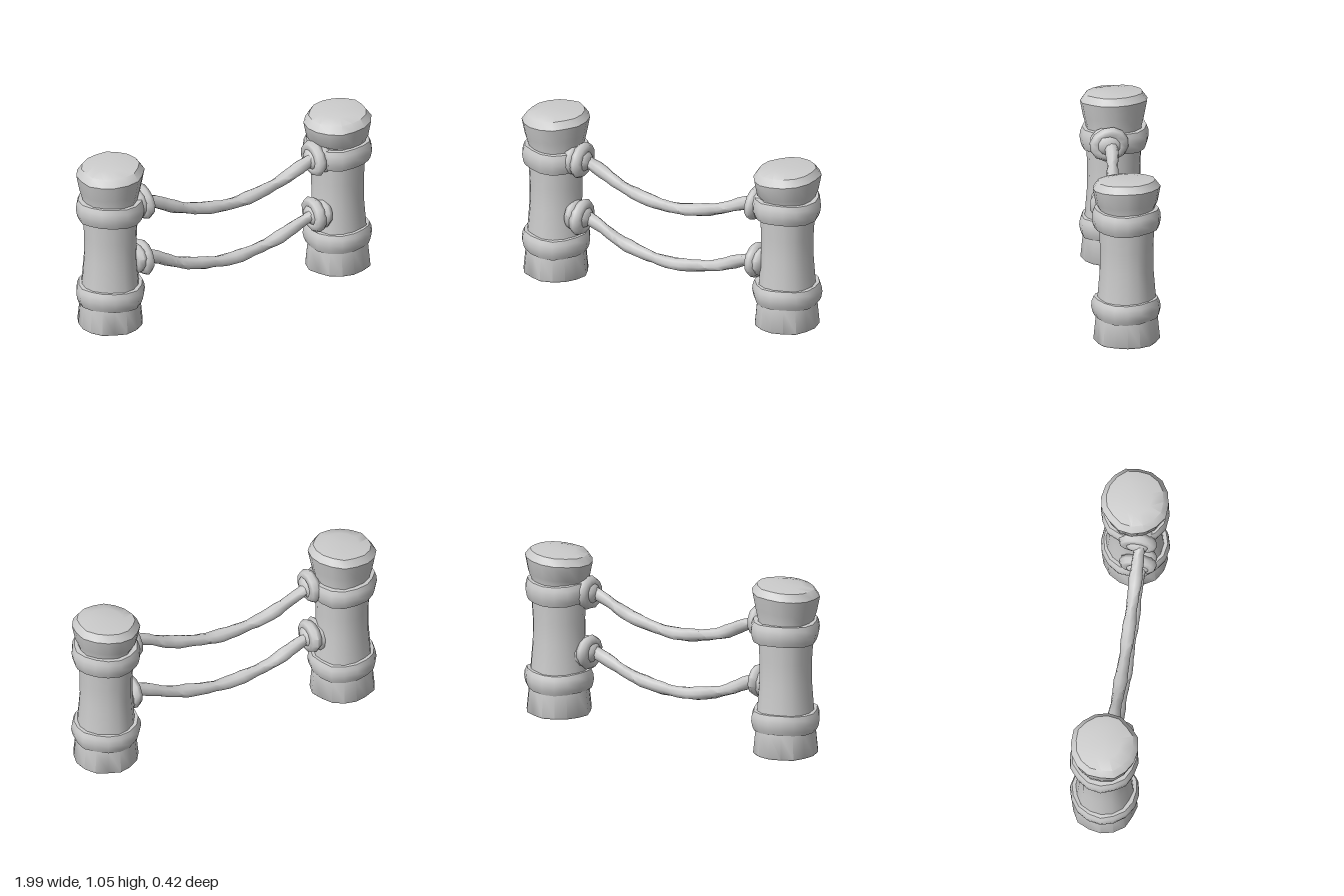
import * as THREE from 'three';
import { mergeVertices, toCreasedNormals } from 'three/addons/utils/BufferGeometryUtils.js';

const grey = new THREE.MeshStandardMaterial({ color: 0xcccccc });
grey.name = 'plain grey';

// Repeatable small wobble based on position, so shared corners stay joined
const wobble = (x, y, z, seed) =>
  Math.sin(x * 31 + seed * 2.1) * Math.cos(z * 27 - seed) * 0.6 + Math.sin(y * 23 + z * 41 + seed * 3.7) * 0.4;

// Moves every vertex by a rule, then rebuilds normals with sharp edges kept
function sculpt(geometry, rule, crease = 0.75) {
  const p = geometry.attributes.position;
  const v = new THREE.Vector3();
  for (let i = 0; i < p.count; i++) {
    v.fromBufferAttribute(p, i);
    rule(v);
    p.setXYZ(i, v.x, v.y, v.z);
  }
  geometry.deleteAttribute('normal');
  geometry.deleteAttribute('uv');
  return toCreasedNormals(mergeVertices(geometry, 1e-4), crease);
}

function add(parent, name, geometry) {
  const mesh = new THREE.Mesh(geometry, grey);
  mesh.name = name;
  parent.add(mesh);
  return mesh;
}

const lathe = (pts, sides) => new THREE.LatheGeometry(pts.map(([r, y]) => new THREE.Vector2(r, y)), sides);

// Rough hewn post with a flared foot, waist and slanted crown
function makePost(height, seed) {
  const post = new THREE.Group();
  const h = height;
  const log = lathe([
    [0, 0], [0.19, 0], [0.196, 0.008], [0.182, 0.15], [0.172, 0.27], [0.158, 0.45], [0.158, 0.58],
    [0.165, 0.7], [0.168, 0.83], [0.185, h - 0.15], [0.203, h - 0.055], [0.172, h - 0.012], [0.1, h], [0, h],
  ], 16);
  add(post, 'log', sculpt(log, (v) => {
    const r = Math.hypot(v.x, v.z);
    if (r < 0.12) {
      if (v.y > 0.5) v.y += v.x * 0.07;
      return;
    }
    const a = Math.atan2(v.z, v.x);
    // long vertical facets and a few chipped grooves
    const k = 1 + 0.018 * Math.sin(a * 5 + seed) + 0.014 * Math.sin(a * 8 + seed * 2 + v.y * 2);
    v.x *= k;
    v.z *= k;
    if (v.y > 0.84) v.y += v.x * 0.07 - v.z * 0.03;
  }));

  // Thick cord collars
  for (const [name, y0, y1] of [['lowerCollar', 0.15, 0.27], ['upperCollar', 0.7, 0.825]]) {
    const d = y1 - y0;
    const ring = lathe([
      [0.14, y0], [0.19, y0], [0.2, y0 + d * 0.2], [0.207, y0 + d * 0.5], [0.203, y0 + d * 0.78], [0.192, y1], [0.14, y1],
    ], 16);
    add(post, name, sculpt(ring, (v) => {
      if (Math.hypot(v.x, v.z) < 0.16) return;
      const k = 1 + 0.03 * wobble(v.x, v.y * 0.5, v.z, seed + y0);
      v.x *= k;
      v.z *= k;
      v.y += 0.006 * Math.sin(Math.atan2(v.z, v.x) * 3 + seed);
    }));
  }
  return post;
}

// Lumpy knot: a core with two crossed loops around the rope end
function makeKnot(side, seed) {
  const knot = new THREE.Group();
  const core = new THREE.SphereGeometry(1, 10, 7);
  add(knot, 'knotCore', sculpt(core, (v) => {
    v.multiply(new THREE.Vector3(0.07, 0.075, 0.09));
    v.multiplyScalar(1 + 0.08 * wobble(v.x, v.y, v.z, seed));
  }, 1.2));
  const loops = [[0.01, 0.35, 0.068], [-0.035, -0.3, 0.06]];
  loops.forEach(([x, tilt, radius], i) => {
    const loop = new THREE.TorusGeometry(radius, 0.036, 7, 12);
    const mesh = add(knot, 'knotLoop', sculpt(loop, (v) => {
      v.x *= 1.15;
      v.multiplyScalar(1 + 0.06 * wobble(v.x, v.y, v.z, seed + i));
    }, 1.2));
    mesh.position.x = x;
    mesh.rotation.set(0, Math.PI / 2, tilt);
  });
  knot.scale.x = -side;
  return knot;
}

// Sagging rope with a slightly twisted, uneven surface
function makeRope(points, seed) {
  const curve = new THREE.CatmullRomCurve3(points.map((p) => new THREE.Vector3(...p)));
  const steps = 28;
  const sides = 8;
  const tube = new THREE.TubeGeometry(curve, steps, 0.037, sides);
  const centre = new THREE.Vector3();
  let n = 0;
  return sculpt(tube, (v) => {
    const i = Math.floor(n / (sides + 1));
    const a = ((n % (sides + 1)) / sides) * Math.PI * 2;
    n++;
    curve.getPointAt(i / steps, centre);
    const k = 1 + 0.1 * Math.sin(a * 2 + i * 0.9 + seed) + 0.05 * Math.sin(i * 2.3 + seed);
    v.sub(centre).multiplyScalar(k).add(centre);
  }, 1);
}

export function createModel() {
  const model = new THREE.Group();
  model.name = 'ropeFence';

  // Posts
  const rightPost = makePost(1.045, 1);
  rightPost.name = 'rightPost';
  rightPost.position.x = -0.787;
  const leftPost = makePost(1.008, 4);
  leftPost.name = 'leftPost';
  leftPost.position.x = 0.787;
  model.add(rightPost, leftPost);

  // Ropes and their knots
  const levels = [
    { name: 'upper', mid: 0.597, right: 0.77, left: 0.755 },
    { name: 'lower', mid: 0.235, right: 0.405, left: 0.385 },
  ];
  levels.forEach(({ name, mid, right, left }, i) => {
    const sag = (end, t) => mid + (end - mid) * t;
    add(model, name + 'Rope', makeRope([
      [-0.62, right + 0.02, 0.03], [-0.5, sag(right, 0.82), 0.025], [-0.3, sag(right, 0.29), 0.03],
      [0, mid, 0.04], [0.3, sag(left, 0.3), 0.045], [0.5, sag(left, 0.82), 0.05], [0.62, left + 0.02, 0.05],
    ], i * 2));
    for (const [side, y] of [[-1, right], [1, left]]) {
      const knot = makeKnot(side, i + side * 2);
      knot.name = name + (side < 0 ? 'RightKnot' : 'LeftKnot');
      knot.position.set(side * (side < 0 ? 0.6 : 0.612), y - 0.002, 0.038);
      model.add(knot);
    }
  });
  return model;
}
